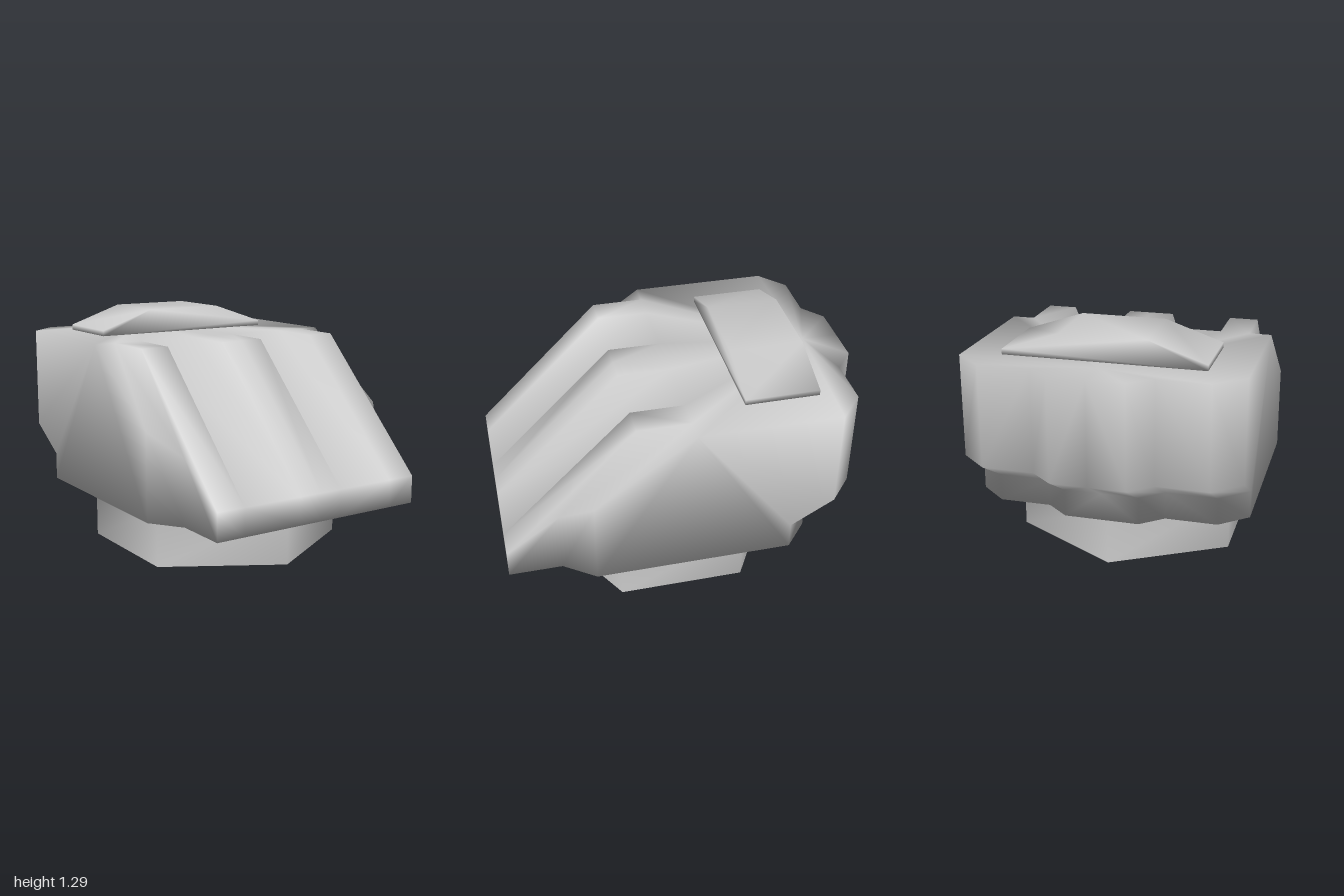
import * as THREE from 'three';
import { mergeVertices } from 'three/addons/utils/BufferGeometryUtils.js';

const grey = () => new THREE.MeshStandardMaterial({ color: 0xcccccc, side: THREE.DoubleSide });

// Weld corners so that the coarse faces are shaded smoothly
function weld(geometry) {
  geometry.deleteAttribute('normal');
  geometry.deleteAttribute('uv');
  const welded = mergeVertices(geometry, 1e-4);
  welded.computeVertexNormals();
  return welded;
}

function hullGeometry() {
  const top = 1.16, lip = 0.46, floor = 0.31, crest = 0.29, tuck = 0.235;
  const slope = z => top - (top - lip) * z; // height of the recessed front slope
  const position = [];

  // A polygon of the +x half, as a fan from its first corner, plus its mirror image
  function face(...p) {
    for (let i = 1; i < p.length - 1; i++) {
      position.push(...p[0], ...p[i], ...p[i + 1]);
      for (const [x, y, z] of [p[0], p[i + 1], p[i]]) position.push(-x, y, z);
    }
  }

  // Back wall: upright, then tucked in below
  const back = [[0, -1], [0.2, -1], [0.32, -0.9], [0.6, -0.9], [0.75, -0.77]];
  const levels = [[floor, tuck], [lip, tuck], [0.6, 0], [top, 0]];
  const at = ([x, z], [y, dz]) => [x, y, z + dz];
  for (let i = 0; i < back.length - 1; i++) {
    for (let j = 0; j < levels.length - 1; j++) {
      face(at(back[i + 1], levels[j]), at(back[i], levels[j]),
        at(back[i], levels[j + 1]), at(back[i + 1], levels[j + 1]));
    }
  }

  // Side wall, front corner chamfer and outer wall of the outer ridge
  const side = (x, pts) => pts.map(([z, y]) => [x, y, z]);
  face(...side(0.75, [[0, top], [0.54, slope(0.54)], [0.54, floor], [-0.77 + tuck, floor],
    [-0.77 + tuck, lip], [-0.77, 0.6], [-0.77, top]]));
  face([0.63, floor, 0.71], [0.75, floor, 0.54], [0.75, slope(0.54), 0.54], [0.63, slope(0.71), 0.71]);
  face(...side(0.63, [[0.71, slope(0.71)], [0, top], [crest, top], [1, lip], [1, floor], [0.71, floor]]));
  face([0.63, top, 0], [0.63, slope(0.71), 0.71], [0.75, slope(0.54), 0.54], [0.75, top, 0]);

  // Front: middle ridge, groove, outer ridge, with the lip below
  const xs = [0, 0.13, 0.47, 0.63];
  for (let i = 0; i < 3; i++) {
    const a = xs[i], b = xs[i + 1], z = i === 1 ? 0 : crest;
    face([a, floor, 1], [b, floor, 1], [b, lip, 1], [a, lip, 1]);
    face([a, lip, 1], [b, lip, 1], [b, top, z], [a, top, z]);
    if (z) face([a, top, z], [b, top, z], [b, top, 0], [a, top, 0]);
  }
  face(...side(0.47, [[1, lip], [crest, top], [0, top]]));
  face(...side(0.13, [[0, top], [crest, top], [1, lip]]));

  // Roof and underside
  const rear = [...back].reverse();
  face([0, top, -0.8], ...[...xs, 0.75].map(x => [x, top, 0]), ...rear.map(p => at(p, levels[3])));
  const under = [...xs.map(x => [x, floor, 1]), [0.63, floor, 0.71], [0.75, floor, 0.54],
    ...rear.map(p => at(p, levels[0]))];
  face([0, floor, 0], ...under.reverse());

  const geometry = new THREE.BufferGeometry();
  geometry.setAttribute('position', new THREE.Float32BufferAttribute(position, 3));
  return weld(geometry);
}

export function createModel() {
  const model = new THREE.Group();
  function add(name, geometry) {
    const mesh = new THREE.Mesh(geometry, grey());
    mesh.name = name;
    model.add(mesh);
    return mesh;
  }

  add('hull', hullGeometry());

  // Open six-sided mounting ring
  const ring = new THREE.CylinderGeometry(0.695, 0.695, 0.31, 6, 1, true);
  add('baseRing', weld(ring)).position.set(0, 0.155, 0.035);

  // Low hatch on the roof with sloping ends
  const profile = new THREE.Shape([[-0.54, 1.16], [0.54, 1.16], [0.54, 1.19], [0.23, 1.295],
    [-0.23, 1.295], [-0.54, 1.19]].map(([x, y]) => new THREE.Vector2(x, y)));
  const hatch = new THREE.ExtrudeGeometry(profile, { depth: 0.405, bevelEnabled: false });
  add('roofHatch', weld(hatch)).position.z = -0.71;

  return model;
}
